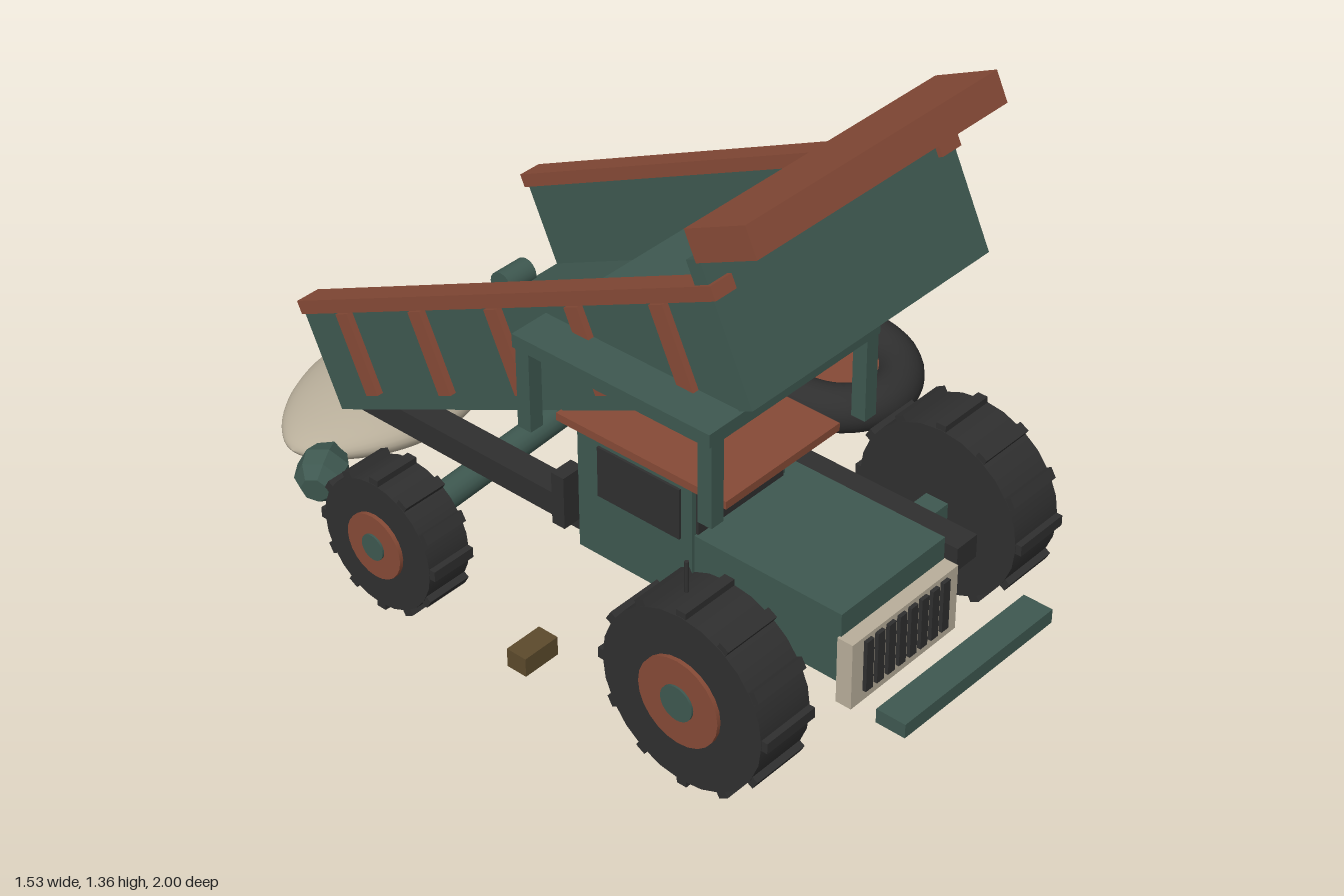
import * as THREE from 'three';

const mat = (name, color) => {
  const m = new THREE.MeshStandardMaterial({ color });
  m.name = name;
  return m;
};

export function createModel() {
  const green = mat('dark green', 0x3e5850);
  const rust = mat('rust red', 0x864a36);
  const rubber = mat('black rubber', 0x2f2f2f);
  const bone = mat('bone', 0xb8ae9a);
  const copper = mat('copper', 0x9a5f34);
  const wood = mat('brown wood', 0x5c4a2c);
  const root = new THREE.Group();
  const CX = -0.255; // centre line of the truck

  const add = (name, geo, m, x, y, z, parent = root) => {
    const mesh = new THREE.Mesh(geo, m);
    mesh.name = name;
    mesh.position.set(x, y, z);
    parent.add(mesh);
    return mesh;
  };
  // box given by its extents
  const box = (name, m, [x0, x1], [y0, y1], [z0, z1], parent = root) =>
    add(name, new THREE.BoxGeometry(x1 - x0, y1 - y0, z1 - z0), m,
      (x0 + x1) / 2, (y0 + y1) / 2, (z0 + z1) / 2, parent);
  // disc with its axis along x
  const disc = (name, m, r, w, x, y, z, parent = root, r2 = r) =>
    add(name, new THREE.CylinderGeometry(r2, r, w, 24).rotateZ(-Math.PI / 2), m, x, y, z, parent);
  // rod between two points
  const rod = (name, m, a, b, r) => {
    const p = new THREE.Vector3(...a), q = new THREE.Vector3(...b);
    const d = q.clone().sub(p), c = p.clone().add(q).multiplyScalar(0.5);
    const mesh = add(name, new THREE.CylinderGeometry(r, r, d.length(), 16), m, c.x, c.y, c.z);
    mesh.quaternion.setFromUnitVectors(new THREE.Vector3(0, 1, 0), d.normalize());
    return mesh;
  };

  // Chassis rails and bed hinges
  for (const s of [-1, 1]) {
    const x = CX + s * 0.21;
    box('chassisRail', rubber, [x - 0.034, x + 0.034], [0.27, 0.33], [-0.635, 0.785]);
    disc('bedHinge', green, 0.033, 0.085, x, 0.425, -0.545);
  }

  // Axles
  box('frontAxle', green, [-0.62, 0.11], [0.218, 0.275], [0.57, 0.63]);
  rod('rearAxle', green, [-0.66, 0.195, -0.285], [0.15, 0.25, -0.285], 0.035);

  // Lugged wheels; side is the direction the hub faces
  const wheel = (name, x, y, z, r, w, side) => {
    const g = new THREE.Group();
    g.name = name;
    g.position.set(x, y, z);
    disc('tyre', rubber, r, w, 0, 0, 0, g);
    for (let i = 0; i < 12; i++) {
      const a = (i / 12) * Math.PI * 2;
      const lug = add('lug', new THREE.BoxGeometry(w * 0.98, 0.028, 0.026), rubber,
        0, Math.cos(a) * r, Math.sin(a) * r, g);
      lug.rotation.x = a;
    }
    disc('hub', rust, r * 0.5, 0.02, side * w / 2, 0, 0, g);
    disc('hubCap', green, r * 0.2, 0.03, side * w / 2, 0, 0, g);
    root.add(g);
  };
  wheel('frontLeftWheel', 0.168, 0.244, 0.6, 0.215, 0.152, 1);
  wheel('frontRightWheel', -0.678, 0.244, 0.6, 0.215, 0.152, -1);
  wheel('rearRightWheel', -0.695, 0.19, -0.285, 0.163, 0.12, -1);

  // Bare rear hub
  disc('bareDrum', green, 0.106, 0.06, 0.165, 0.25, -0.285);
  disc('bareHub', rust, 0.068, 0.045, 0.21, 0.25, -0.285);

  // Hood, cab and roof
  box('hood', green, [-0.603, -0.272], [0.355, 0.528], [0.48, 0.89]);
  box('cab', green, [-0.61, -0.318], [0.35, 0.675], [0.19, 0.505]);
  box('windscreen', rubber, [-0.598, -0.33], [0.53, 0.645], [0.503, 0.511]);
  box('rearWindow', rubber, [-0.598, -0.33], [0.51, 0.635], [0.184, 0.192]);
  for (const x of [-0.612, -0.316])
    box('sideWindow', rubber, [x - 0.004, x + 0.004], [0.51, 0.635], [0.25, 0.475]);
  box('cabRoof', rust, [-0.645, -0.29], [0.678, 0.697], [0.165, 0.625]);
  box('rearBracket', rubber, [-0.65, -0.59], [0.41, 0.54], [0.15, 0.185]);
  rod('whip', rubber, [-0.678, 0.45, 0.55], [-0.678, 0.53, 0.55], 0.005);

  // Grille with dark bars
  box('grille', bone, [-0.61, -0.27], [0.31, 0.473], [0.886, 0.925]);
  for (let i = 0; i < 8; i++) {
    const x = -0.563 + i * 0.0352;
    box('grilleSlot', rubber, [x - 0.011, x + 0.011], [0.337, 0.463], [0.925, 0.934]);
  }

  // Loose bumper
  const bumper = box('bumper', green, [-0.52, -0.02], [0.212, 0.247], [0.92, 0.995]);
  bumper.rotation.z = -0.015;

  // Canopy over the cab on four posts
  box('canopyPlate', green, [-0.73, -0.205], [0.888, 0.92], [0.13, 0.655]);
  for (const x of [-0.705, -0.228])
    for (const z of [0.15, 0.637])
      box('canopyPost', green, [x - 0.018, x + 0.018], [0.69, 0.89], [z - 0.018, z + 0.018]);

  // Tipped bed, pivoting at its lower rear edge
  const bed = new THREE.Group();
  bed.name = 'tippedBed';
  bed.position.set(CX, 0.38, -0.51);
  bed.rotation.x = -THREE.MathUtils.degToRad(25);
  root.add(bed);
  box('bedFloor', green, [-0.375, 0.375], [0, 0.035], [0, 1.31], bed);
  box('headboard', green, [-0.377, 0.377], [0, 0.322], [1.275, 1.313], bed);
  box('bedVisor', rust, [-0.388, 0.388], [0.318, 0.39], [1.312, 1.48], bed);
  for (const s of [-1, 1]) {
    const span = (a, b) => (s > 0 ? [a, b] : [-b, -a]);
    box('bedSide', green, span(0.335, 0.375), [0, 0.245], [0, 1.3], bed);
    box('bedRail', rust, span(0.322, 0.384), [0.236, 0.268], [0, 1.325], bed);
    for (let i = 0; i < 5; i++) {
      const z = 0.15 + i * 0.2525;
      box('bedRib', rust, span(0.37, 0.391), [0.04, 0.236], [z - 0.02, z + 0.02], bed);
    }
  }

  // Lifting rams
  for (const x of [-0.06, -0.45]) {
    rod('ramCylinder', green, [x, 0.29, 0.242], [x, 0.48, 0.205], 0.034);
    rod('ramRod', copper, [x, 0.45, 0.21], [x, 0.705, 0.165], 0.023);
  }

  // Wheel chocks
  box('frontChock', wood, [0.1, 0.2], [0.032, 0.08], [0.44, 0.5]);
  box('rearChock', wood, [-0.73, -0.63], [0.032, 0.08], [0.08, 0.135]);

  // Removed wheel lying on the ground
  const spare = new THREE.Group();
  spare.name = 'removedWheel';
  spare.position.set(0.542, 0.09, -0.053);
  spare.rotation.set(0.1, 0, -0.035);
  root.add(spare);
  add('tyre', new THREE.TorusGeometry(0.16, 0.06, 20, 40).rotateX(Math.PI / 2), rubber, 0, 0, 0, spare);
  add('hub', new THREE.CylinderGeometry(0.115, 0.115, 0.05, 28), rust, 0, 0, 0, spare);

  // Sack: pointed spindle flattened towards the ground
  const profile = [[0, -0.315], [0.045, -0.3], [0.105, -0.25], [0.16, -0.17], [0.195, -0.08], [0.205, 0],
    [0.195, 0.09], [0.16, 0.18], [0.105, 0.255], [0.05, 0.3], [0, 0.315]];
  const curve = new THREE.SplineCurve(profile.map(([r, h]) => new THREE.Vector2(r, h)));
  const spindle = curve.getPoints(40).map(p => new THREE.Vector2(Math.max(p.x, 0), p.y));
  const sackGeo = new THREE.LatheGeometry(spindle, 36).rotateZ(-Math.PI / 2).scale(1, 0.385, 1);
  const sack = add('sack', sackGeo, bone, -0.228, 0.089, -0.795);
  sack.rotation.z = 0.025;

  // Faceted tied end of the sack
  const tie = green.clone();
  tie.flatShading = true;
  const knotProfile = [[0, -0.09], [0.02, -0.09], [0.066, 0.01], [0.06, 0.055], [0.035, 0.085], [0, 0.085]];
  const knotGeo = new THREE.LatheGeometry(knotProfile.map(p => new THREE.Vector2(...p)), 7);
  const knot = add('sackKnot', knotGeo, tie, -0.517, 0.064, -0.71);
  knot.quaternion.setFromUnitVectors(new THREE.Vector3(0, 1, 0),
    new THREE.Vector3(-0.87, -0.12, 0.47).normalize());

  return root;
}
